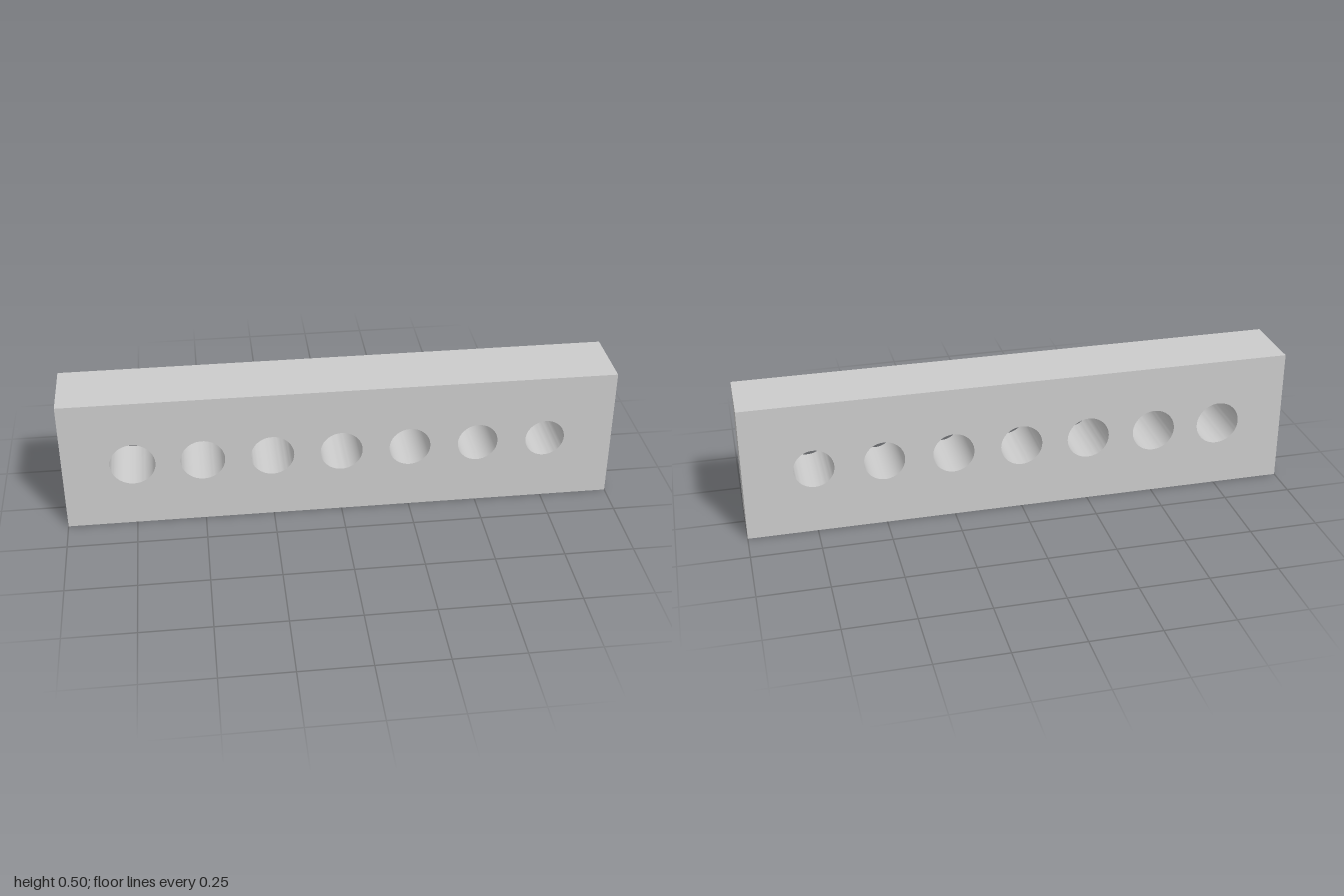
import * as THREE from 'three';
import { toCreasedNormals } from 'three/addons/utils/BufferGeometryUtils.js';

const LENGTH = 2, HEIGHT = 0.5, DEPTH = 0.25;
const HOLES = 7, SPACING = 0.25;
const FIRST_RADIUS = 0.081, LAST_RADIUS = 0.072;

export function createModel() {
  const group = new THREE.Group();
  group.name = 'holeGauge';

  // Rectangular face of the bar
  const face = new THREE.Shape([
    new THREE.Vector2(-LENGTH / 2, 0),
    new THREE.Vector2(LENGTH / 2, 0),
    new THREE.Vector2(LENGTH / 2, HEIGHT),
    new THREE.Vector2(-LENGTH / 2, HEIGHT),
  ]);

  // Row of through holes, shrinking slightly towards +x
  for (let i = 0; i < HOLES; i++) {
    const x = (i - (HOLES - 1) / 2) * SPACING;
    const radius = THREE.MathUtils.lerp(FIRST_RADIUS, LAST_RADIUS, i / (HOLES - 1));
    face.holes.push(new THREE.Path().absarc(x, HEIGHT / 2, radius, 0, Math.PI * 2, true));
  }

  // Drilled bar, with smooth bores and sharp edges
  const geometry = new THREE.ExtrudeGeometry(face, { depth: DEPTH, bevelEnabled: false, curveSegments: 32 });
  geometry.translate(0, 0, -DEPTH / 2);
  const bar = new THREE.Mesh(
    toCreasedNormals(geometry, Math.PI / 6),
    new THREE.MeshStandardMaterial({ color: 0xcccccc })
  );
  bar.name = 'drilledBar';
  group.add(bar);
  return group;
}
